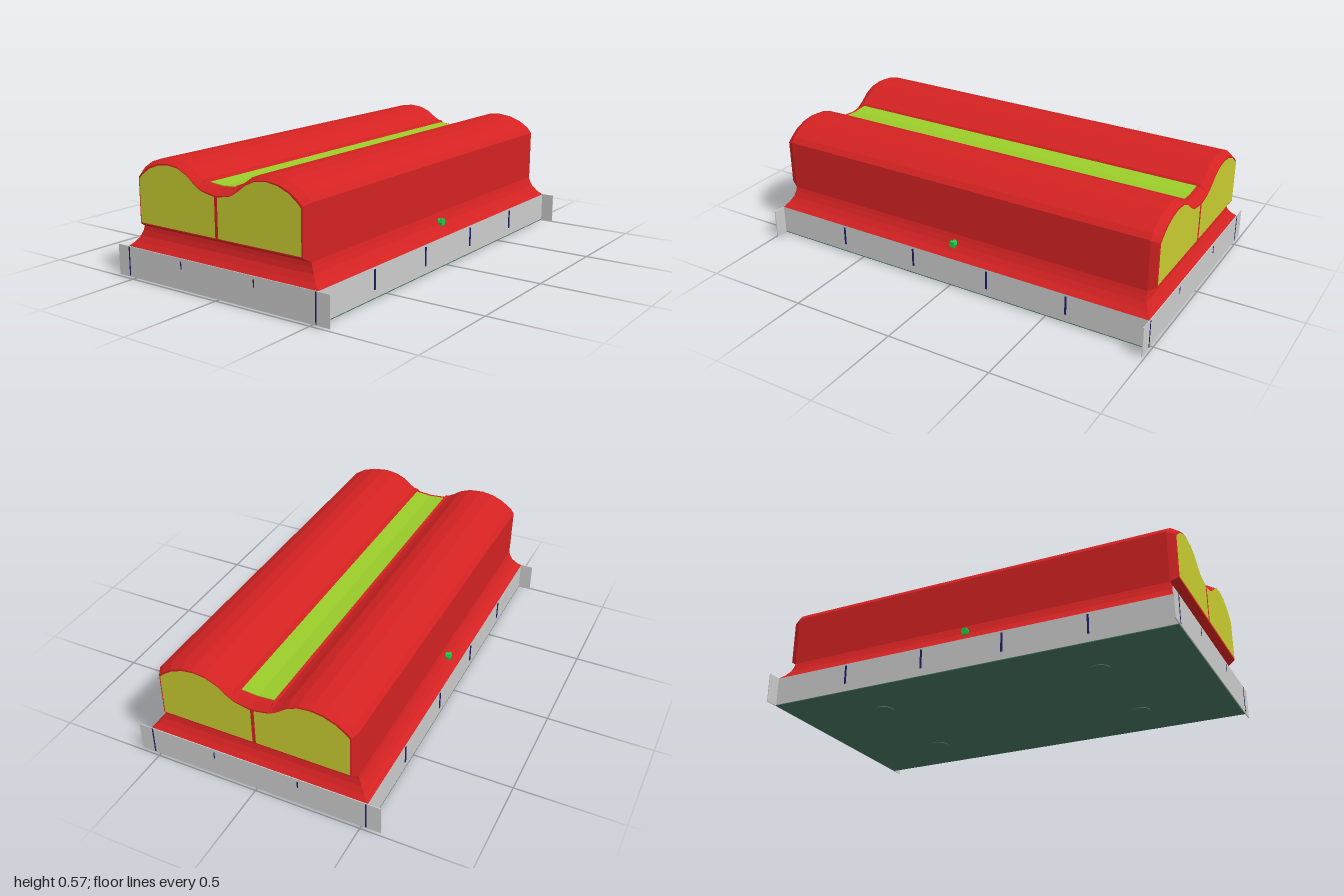
import * as THREE from 'three';

const paint = (color, extra = {}) => new THREE.MeshStandardMaterial({ color, flatShading: true, ...extra });
const red = paint(0xd42222);
const grey = paint(0xcccccc, { side: THREE.DoubleSide });
const yellow = paint(0xc8cc30);
const lime = paint(0x9acc2a);
const navy = paint(0x1c1c66);
const green = paint(0x18cc48);
const darkGreen = paint(0x44705e);

// Skin between closed rings of [x, y, z] that run counter-clockwise about the loft direction
function loft(rings) {
  const n = rings[0].length;
  const index = [];
  for (let i = 0; i < rings.length - 1; i++) {
    for (let j = 0; j < n; j++) {
      const k = (j + 1) % n;
      const a = i * n + j, b = i * n + k;
      index.push(a, b, b + n, a, b + n, a + n);
    }
  }
  const g = new THREE.BufferGeometry();
  g.setAttribute('position', new THREE.Float32BufferAttribute(rings.flat(2), 3));
  g.setIndex(index);
  g.computeVertexNormals();
  return g;
}

const shapeOf = (points) => new THREE.Shape(points.map(([x, y]) => new THREE.Vector2(x, y)));
const mirrored = (half) => [...half, ...half.filter(([x]) => x > 0).reverse().map(([x, y]) => [-x, y])];

// Right half of the double-humped section, from the bottom corner to the middle
const outerHalf = [[0.468, 0.24], [0.47, 0.48], [0.45, 0.505], [0.40, 0.538], [0.34, 0.558], [0.28, 0.566],
  [0.22, 0.56], [0.17, 0.541], [0.13, 0.513], [0.10, 0.496], [0.085, 0.496], [0.078, 0.484], [0, 0.477]];
const innerHalf = [[0.453, 0.26], [0.453, 0.468], [0.435, 0.486], [0.39, 0.518], [0.335, 0.539], [0.28, 0.547],
  [0.22, 0.54], [0.17, 0.518], [0.13, 0.487], [0.10, 0.468], [0.085, 0.461], [0.078, 0.459], [0, 0.447]];

export function createModel() {
  const model = new THREE.Group();
  const add = (name, geometry, material, x = 0, y = 0, z = 0) => {
    const mesh = new THREE.Mesh(geometry, material);
    mesh.name = name;
    mesh.position.set(x, y, z);
    model.add(mesh);
    return mesh;
  };
  const box = (name, w, h, d, material, x, y, z) => add(name, new THREE.BoxGeometry(w, h, d), material, x, y, z);

  // Base tray with wide end plates and a dark underside
  box('base', 1.06, 0.137, 1.97, grey, 0, 0.0765, 0);
  box('underside', 1.06, 0.004, 1.97, darkGreen, 0, 0.006, 0);
  for (const s of [-1, 1]) box('endPlate', 1.184, 0.141, 0.004, grey, 0, 0.0755, s * 0.988);

  // Coved plinth
  const steps = [[0.53, 0.145, 0.986], [0.505, 0.168, 0.967], [0.485, 0.195, 0.951], [0.474, 0.22, 0.945], [0.466, 0.245, 0.943]];
  add('plinth', loft(steps.map(([w, y, d]) => [[w, y, d], [w, y, -d], [-w, y, -d], [-w, y, d]])), red);

  // Humped body with bevelled ends
  const outer = mirrored(outerHalf), inner = mirrored(innerHalf);
  const ring = (profile, z) => profile.map(([x, y]) => [x, y, z]);
  add('body', loft([ring(inner, -0.978), ring(outer, -0.943), ring(outer, 0.943), ring(inner, 0.978)]), red);

  // Ends: red face with two panels either side of a narrow divider
  const panelHalf = innerHalf.map(([x, y]) => [Math.max(x - 0.006, 0.008), y - 0.005]);
  panelHalf[0][1] = 0.266;
  const panel = [...panelHalf, [0.008, 0.266]];
  for (const turn of [0, Math.PI]) {
    const end = new THREE.Group();
    end.name = 'bodyEnd';
    end.rotation.y = turn;
    const face = new THREE.Mesh(new THREE.ShapeGeometry(shapeOf(inner)), red);
    face.name = 'endFace';
    face.position.z = 0.978;
    end.add(face);
    for (const s of [-1, 1]) {
      const g = new THREE.ShapeGeometry(shapeOf(panel.map(([x, y]) => [x * s, y])));
      const mesh = new THREE.Mesh(g, yellow);
      mesh.name = 'endPanel';
      mesh.position.z = 0.98;
      end.add(mesh);
    }
    model.add(end);
  }

  // Lime strip along the valley
  const strip = shapeOf([[-0.077, 0.47], [0.077, 0.47], [0.077, 0.487], [0, 0.481], [-0.077, 0.487]]);
  add('valleyStrip', new THREE.ExtrudeGeometry(strip, { depth: 1.85, bevelEnabled: false }), lime, 0, 0, -0.925);

  for (const s of [-1, 1]) {
    // Knob on each long side
    add('knob', new THREE.CylinderGeometry(0.016, 0.016, 0.03, 10).rotateZ(Math.PI / 2), green, s * 0.487, 0.2, 0);
    add('knobCap', new THREE.BoxGeometry(0.012, 0.03, 0.024), green, s * 0.495, 0.2, 0);
    // Clips along the sides, at the ends and in the corners
    for (const z of [-0.6, -0.2, 0.2, 0.6]) box('sideClip', 0.006, 0.09, 0.008, navy, s * 0.531, 0.09, z);
    for (const x of [-0.205, 0.205]) box('endClip', 0.005, 0.035, 0.003, navy, x, 0.115, s * 0.99);
    for (const t of [-1, 1]) {
      box('cornerSeam', 0.006, 0.135, 0.003, navy, t * 0.524, 0.077, s * 0.99);
      // Round feet
      add('foot', new THREE.CylinderGeometry(0.045, 0.045, 0.006, 20), darkGreen, t * 0.27, 0.003, s * 0.55);
    }
  }
  return model;
}
